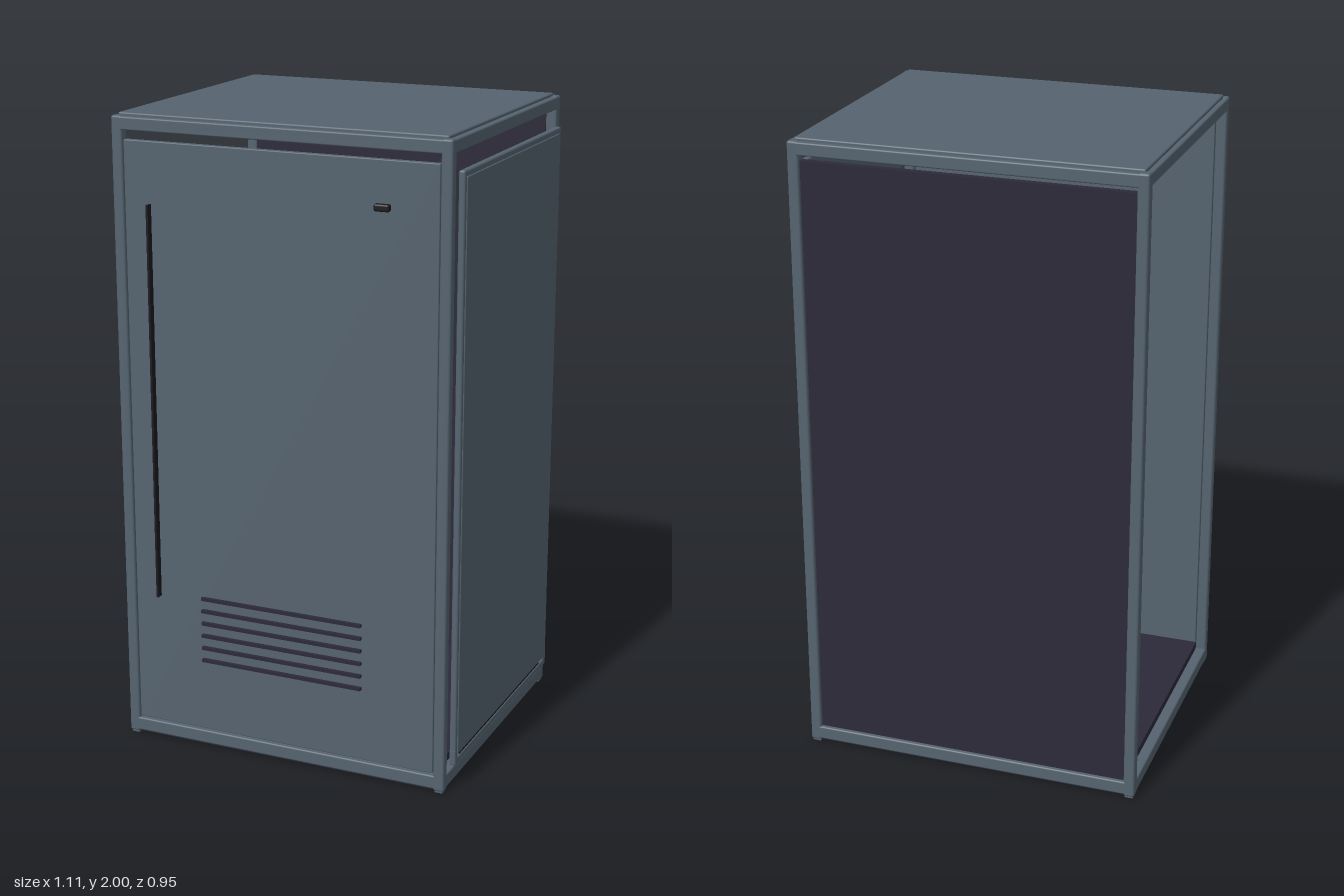
import * as THREE from 'three';
import { RoundedBoxGeometry } from 'three/addons/geometries/RoundedBoxGeometry.js';

export function createModel() {
  const model = new THREE.Group();
  model.name = 'cabinet';
  const material = (name, color) => {
    const m = new THREE.MeshStandardMaterial({ color });
    m.name = name;
    return m;
  };
  const slate = material('slate paint', 0x55636f);
  const dark = material('dark violet lining', 0x2c2a39);
  const black = material('black trim', 0x1b1b20);

  // Box given by its limits on each axis, with optionally rounded edges
  const block = (name, mat, [x0, x1], [y0, y1], [z0, z1], radius = 0) => {
    const size = [x1 - x0, y1 - y0, z1 - z0];
    const geometry = radius
      ? new RoundedBoxGeometry(...size, 2, radius)
      : new THREE.BoxGeometry(...size);
    const mesh = new THREE.Mesh(geometry, mat);
    mesh.position.set((x0 + x1) / 2, (y0 + y1) / 2, (z0 + z1) / 2);
    mesh.name = name;
    model.add(mesh);
  };

  // Frame limits: pairs of post positions on x and z
  const xs = [[-0.553, -0.518], [0.495, 0.53]];
  const zs = [[-0.475, -0.437], [0.425, 0.458]];
  const inX = [-0.518, 0.495], inZ = [-0.437, 0.425];
  const rails = [['bottomRail', [0.012, 0.055]], ['topRail', [1.95, 1.99]]];

  // Corner posts with small feet
  for (const x of xs) {
    for (const z of zs) {
      block('cornerPost', slate, x, [0.006, 1.992], z, 0.007);
      block('foot', slate, [x[0] + 0.005, x[1] - 0.005], [0, 0.012], [z[0] + 0.005, z[1] - 0.005]);
    }
  }

  // Horizontal rails between the posts
  for (const [name, y] of rails) {
    for (const z of zs) block(name, slate, [inX[0] - 0.01, inX[1] + 0.01], y, z, 0.005);
    for (const x of xs) block(name, slate, x, y, [inZ[0] - 0.01, inZ[1] + 0.01], 0.005);
  }

  // Roof, floor and underside
  block('roofPanel', slate, [-0.537, 0.512], [1.975, 2], [-0.458, 0.44], 0.005);
  block('floorPanel', dark, inX, [0.05, 0.075], [-0.437, 0.43]);
  block('undersidePlate', dark, [-0.545, 0.522], [0.007, 0.013], [-0.467, 0.45]);

  // Back panel with a thin stiffener on its inner face
  block('backPanel', dark, inX, [0.05, 1.932], [-0.462, -0.44]);
  block('backStiffener', black, [0.44, 0.49], [0.37, 1.7], [-0.44, -0.43]);

  // Front door, leaving a slot below the top rail
  block('door', slate, [-0.515, 0.492], [0.06, 1.922], [0.432, 0.453], 0.003);
  block('doorHandle', black, [-0.434, -0.427], [0.49, 1.735], [0.453, 0.474]);
  block('doorLock', black, [0.298, 0.346], [1.776, 1.798], [0.453, 0.474], 0.006);

  // Ventilation slats low on the door
  for (let i = 0; i < 6; i++) {
    const y = 0.298 + i * 0.0412;
    block('ventSlat', dark, [-0.282, 0.257], [y - 0.005, y + 0.005], [0.452, 0.465]);
  }

  // Removable panel on the left side: flanged edge, raised face and lower lip
  block('sidePanel', slate, [0.53, 0.55], [0.107, 1.9], [-0.43, 0.412], 0.006);
  block('sidePanelFace', slate, [0.54, 0.553], [0.112, 1.882], [-0.411, 0.398], 0.003);
  block('sidePanelLip', slate, [0.53, 0.55], [0.078, 0.1], [-0.43, 0.412], 0.005);
  block('sidePanelSeam', black, [0.532, 0.547], [0.099, 0.109], [-0.37, 0.37]);
  for (const z of [[-0.43, -0.405], [0.388, 0.412]]) {
    block('sidePanelCorner', slate, [0.53, 0.55], [0.09, 0.13], z, 0.004);
  }

  return model;
}
